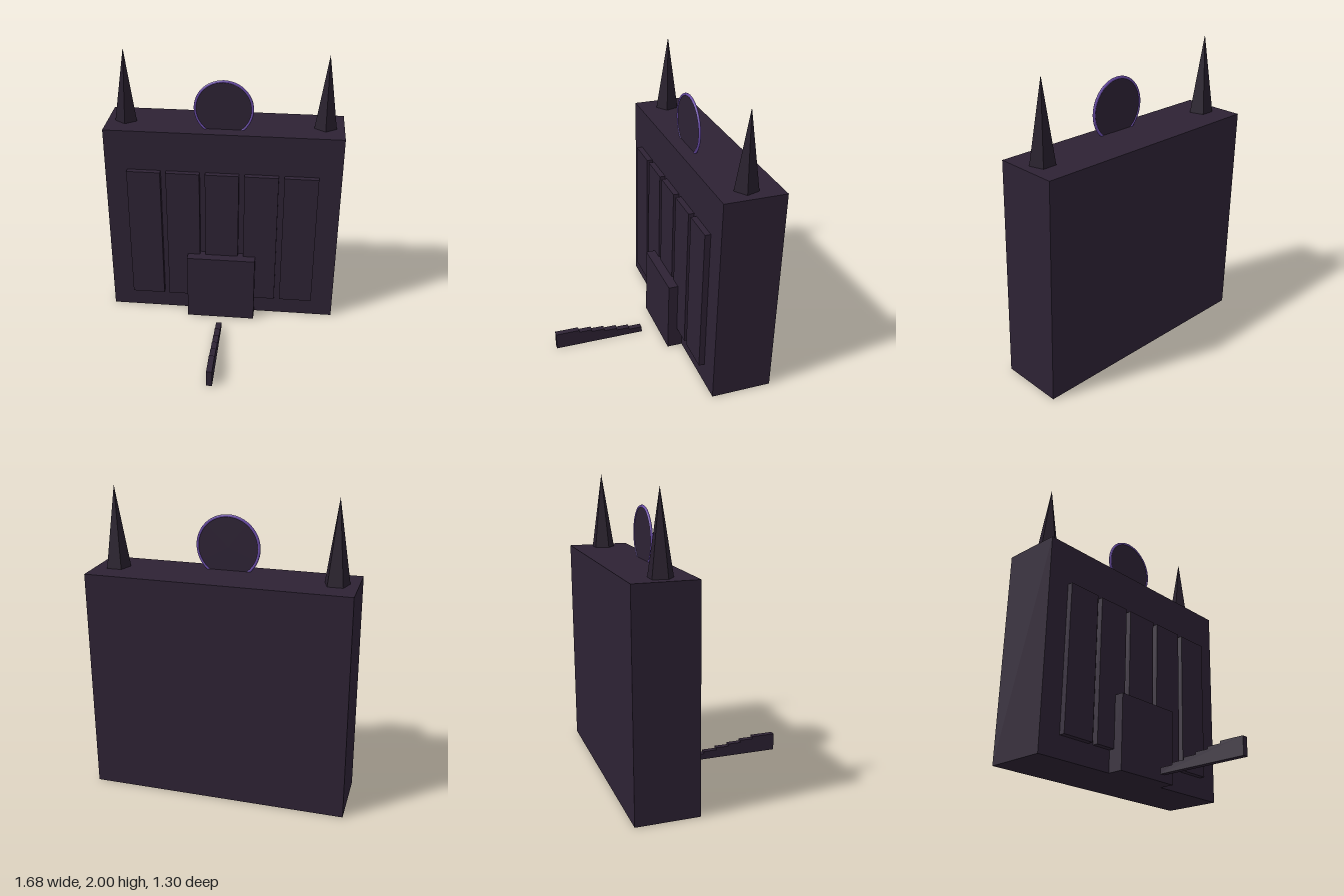
import * as THREE from 'three';

const material = (name, color) => {
  const m = new THREE.MeshStandardMaterial({ color });
  m.name = name;
  return m;
};

export function createModel() {
  const stone = material('dark plum stone', 0x2d2234);
  const spireStone = material('spire stone', 0x261d2b);
  spireStone.flatShading = true;
  const violet = material('violet trim', 0x6a4ca8);

  const group = new THREE.Group();
  const add = (name, geometry, mat, x = 0, y = 0, z = 0) => {
    const mesh = new THREE.Mesh(geometry, mat);
    mesh.name = name;
    mesh.position.set(x, y, z);
    group.add(mesh);
    return mesh;
  };
  // Box given by its extents
  const block = (name, x0, x1, y0, y1, z0, z1) =>
    add(name, new THREE.BoxGeometry(x1 - x0, y1 - y0, z1 - z0), stone,
      (x0 + x1) / 2, (y0 + y1) / 2, (z0 + z1) / 2);

  // Main hall and projecting entrance
  block('hall', -0.84, 0.84, 0, 1.475, -0.65, -0.23);
  block('entrance', -0.25, 0.25, 0, 0.517, -0.25, -0.123);

  // Five raised facade panels
  for (let i = -2; i <= 2; i++) {
    block('facadePanel', i * 0.28 - 0.12, i * 0.28 + 0.12, 0.15, 1.18, -0.25, -0.19);
  }

  // Five-sided spires on the roof
  for (const side of [-1, 1]) {
    add('spire', new THREE.ConeGeometry(0.082, 0.525, 5), spireStone,
      side * 0.706, 1.7375, -0.433);
  }

  // Round window disc with a thin ring, sunk into the roof
  const disc = add('roseDisc', new THREE.CylinderGeometry(0.2, 0.2, 0.008, 48), stone, 0, 1.625, -0.33);
  disc.rotation.x = Math.PI / 2;
  add('roseRing', new THREE.TorusGeometry(0.2, 0.009, 8, 48), violet, 0, 1.625, -0.33);

  // Narrow stepped ramp rising away from the hall
  const stepEnds = [0.1, 0.195, 0.29, 0.385, 0.48, 0.65];
  const stepTops = [0.042, 0.058, 0.074, 0.09, 0.106, 0.122];
  const profile = new THREE.Shape();
  profile.moveTo(0, 0);
  let z = 0.005;
  stepEnds.forEach((end, i) => {
    profile.lineTo(-z, stepTops[i]);
    profile.lineTo(-end, stepTops[i]);
    z = end;
  });
  profile.lineTo(-0.65, 0);
  const steps = new THREE.ExtrudeGeometry(profile, { depth: 0.04, bevelEnabled: false });
  steps.translate(0, 0, -0.02);
  steps.rotateY(Math.PI / 2);
  add('steps', steps, stone);

  return group;
}
